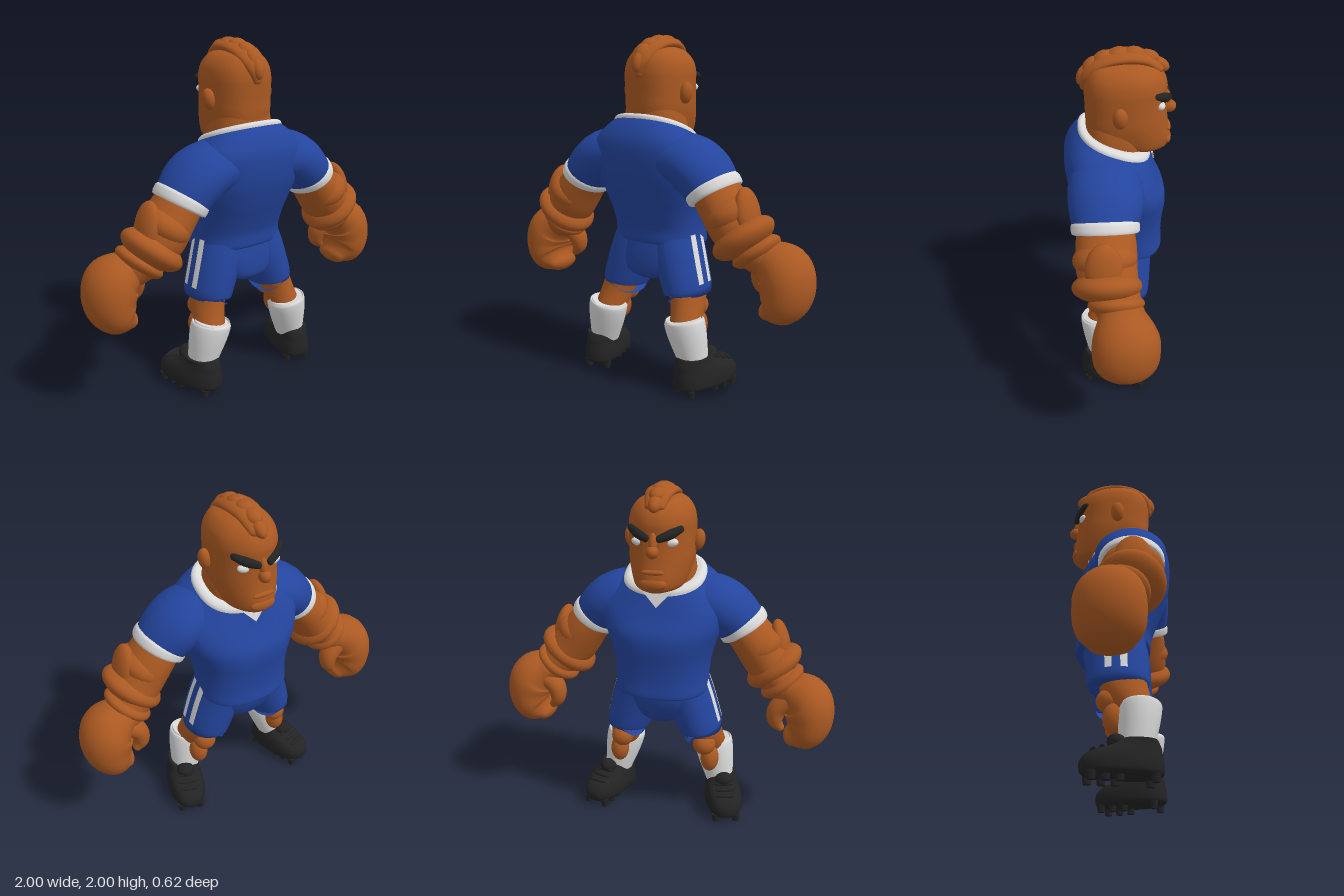
import * as THREE from 'three';

const material = (name, color) => Object.assign(new THREE.MeshStandardMaterial({ color }), { name });

// Catmull-Rom interpolation through rows of numbers, t in 0..1
function sample(rows, t) {
  const n = rows.length - 1, f = Math.min(Math.max(t, 0), 1) * n, i = Math.min(Math.floor(f), n - 1), k = f - i;
  const at = j => rows[Math.min(Math.max(j, 0), n)];
  return rows[0].map((_, c) => {
    const [a, b, d, e] = [at(i - 1)[c], at(i)[c], at(i + 1)[c], at(i + 2)[c]];
    return b + 0.5 * k * (d - a + k * (2 * a - 5 * b + 4 * d - e + k * (3 * (b - d) + e - a)));
  });
}

// Skin over a list of rings, with end caps when the rings are closed
function skin(rings, closed = true) {
  const n = rings[0].length, pos = [], idx = [];
  rings.forEach(r => r.forEach(p => pos.push(p.x, p.y, p.z)));
  for (let i = 0; i < rings.length - 1; i++) {
    for (let j = 0; j < (closed ? n : n - 1); j++) {
      const a = i * n + j, b = i * n + (j + 1) % n, c = a + n, d = b + n;
      idx.push(a, c, b, b, c, d);
    }
  }
  if (closed) [rings[0], rings[rings.length - 1]].forEach((r, end) => {
    const base = pos.length / 3;
    const mid = r.reduce((s, p) => s.add(p), new THREE.Vector3()).divideScalar(n);
    [...r, mid].forEach(p => pos.push(p.x, p.y, p.z));
    for (let j = 0; j < n; j++) {
      const a = base + j, b = base + (j + 1) % n;
      end ? idx.push(a, base + n, b) : idx.push(b, base + n, a);
    }
  });
  const g = new THREE.BufferGeometry();
  g.setAttribute('position', new THREE.Float32BufferAttribute(pos, 3));
  g.setIndex(idx);
  g.computeVertexNormals();
  return g;
}

// Upright form; rows are [y, half width, front z, back z, slope]
function stack(rows, { pow = 2.4, taper = 0, steps = 5 } = {}) {
  const rings = [], count = (rows.length - 1) * steps;
  const bend = v => Math.sign(v) * Math.abs(v) ** (2 / pow);
  for (let i = 0; i <= count; i++) {
    const [y, w, f, b, s] = sample(rows, i / count);
    rings.push(Array.from({ length: 48 }, (_, j) => {
      const a = j / 48 * Math.PI * 2, sz = bend(Math.sin(a));
      const z = (f + b) / 2 + sz * (b - f) / 2;
      const x = w * bend(Math.cos(a)) * (sz < 0 ? 1 - taper * sz * sz : 1);
      return new THREE.Vector3(x, y + s * z, z);
    }));
  }
  return skin(rings);
}

// Swept form; rows are [x, y, z, radius across, radius along side]
function limb(rows, { side = [0, 0, 1], dome = 0, arc = null, grow = 0, seg = 28 } = {}) {
  const v = new THREE.Vector3(...side), count = (rows.length - 1) * 6, rings = [];
  const ring = (t, scale, push) => {
    const r = sample(rows, t), p = new THREE.Vector3(r[0], r[1], r[2]);
    const d = new THREE.Vector3(...sample(rows, t + 0.01)).sub(new THREE.Vector3(...sample(rows, t - 0.01))).normalize();
    const u = new THREE.Vector3().crossVectors(d, v).normalize();
    p.addScaledVector(d, push * Math.min(r[3], r[4]));
    rings.push(Array.from({ length: arc ? 6 : seg }, (_, j) => {
      const a = arc ? arc[0] + (arc[1] - arc[0]) * j / 5 : j / seg * Math.PI * 2;
      return p.clone().addScaledVector(u, Math.cos(a) * (r[3] + grow) * scale).addScaledVector(v, Math.sin(a) * (r[4] + grow) * scale);
    }));
  };
  const q = k => k / 5 * Math.PI / 2;
  if (dome) for (let k = 5; k > 0; k--) ring(0, Math.cos(q(k)) + 0.002, -dome * Math.sin(q(k)));
  for (let i = 0; i <= count; i++) ring(i / count, 1, 0);
  if (dome) for (let k = 1; k <= 5; k++) ring(1, Math.cos(q(k)) + 0.002, dome * Math.sin(q(k)));
  return skin(rings, !arc);
}

const blob = ([x, y, z], [a, b, c], rz = 0, rx = 0) =>
  new THREE.SphereGeometry(1, 28, 18).scale(a, b, c).rotateX(rx).rotateZ(rz).translate(x, y, z);

function flip(geometry) {
  const g = geometry.clone().scale(-1, 1, 1), ix = g.index.array;
  for (let i = 0; i < ix.length; i += 3) [ix[i], ix[i + 1]] = [ix[i + 1], ix[i]];
  return g;
}

export function createModel() {
  const model = new THREE.Group();
  const skinTone = material('skin', 0xab5922), blue = material('blue cloth', 0x24459e);
  const white = material('white cloth', 0xdadada), black = material('black', 0x232323);
  const add = (name, g, m) => {
    const mesh = new THREE.Mesh(g, m);
    mesh.name = name;
    model.add(mesh);
  };
  const pair = (name, g, m) => {
    add('left ' + name, g, m);
    add('right ' + name, flip(g), m);
  };

  // Shirt and collar
  add('shirt', stack([
    [0.825, 0.25, -0.23, 0.16, 0.08], [0.84, 0.272, -0.25, 0.18, 0.08], [0.92, 0.272, -0.245, 0.185, 0.06],
    [1.02, 0.283, -0.25, 0.22, 0.04], [1.12, 0.312, -0.262, 0.26, 0.04], [1.22, 0.35, -0.255, 0.295, 0.12],
    [1.33, 0.37, -0.215, 0.305, 0.25], [1.41, 0.31, -0.19, 0.27, 0.34], [1.485, 0.22, -0.165, 0.215, 0.38]]), blue);
  add('collar', stack([
    [1.462, 0.238, -0.172, 0.226, 0.38], [1.488, 0.232, -0.17, 0.222, 0.38],
    [1.503, 0.208, -0.15, 0.203, 0.38], [1.498, 0.175, -0.12, 0.18, 0.38]]), white);
  const vee = new THREE.Shape([[-0.08, 0], [0, -0.085], [0.08, 0]].map(p => new THREE.Vector2(...p)));
  add('collar point', new THREE.ExtrudeGeometry(vee, { depth: 0.009, bevelEnabled: false }).rotateX(0.24).translate(0, 1.425, -0.182), white);

  // Head
  add('neck', stack([[1.38, 0.18, -0.13, 0.18, 0.3], [1.5, 0.18, -0.14, 0.18, 0.25], [1.6, 0.165, -0.14, 0.175, 0.1]]), skinTone);
  add('head', stack([
    [1.435, 0.07, -0.24, -0.04, 0], [1.455, 0.13, -0.27, 0.08, 0], [1.51, 0.158, -0.28, 0.16, 0],
    [1.6, 0.178, -0.266, 0.18, 0], [1.68, 0.181, -0.258, 0.182, 0], [1.75, 0.182, -0.256, 0.185, 0],
    [1.81, 0.18, -0.258, 0.185, 0], [1.87, 0.163, -0.235, 0.17, 0], [1.92, 0.118, -0.18, 0.13, 0],
    [1.945, 0.04, -0.08, 0.04, 0]], { pow: 2.5, taper: 0.24 }), skinTone);
  add('nose', blob([0, 1.665, -0.272], [0.034, 0.035, 0.04]), skinTone);
  add('nose bridge', blob([0, 1.71, -0.257], [0.022, 0.06, 0.028], 0, 0.2), skinTone);
  add('lower lip', blob([0, 1.555, -0.268], [0.065, 0.015, 0.016]), skinTone);
  add('chin', blob([0, 1.49, -0.258], [0.075, 0.038, 0.03]), skinTone);
  pair('ear', blob([0.193, 1.69, 0.005], [0.036, 0.06, 0.04], -0.15), skinTone);
  pair('eye', blob([0.088, 1.709, -0.214], [0.04, 0.024, 0.026], 0.15), white);
  pair('brow', limb([[0.035, 1.735, -0.262, 0.02, 0.02], [0.09, 1.757, -0.238, 0.026, 0.022], [0.14, 1.782, -0.2, 0.018, 0.02]], { dome: 0.8, seg: 14 }), black);

  // Swept-back crest of hair
  const crest = [
    [0, 1.89, -0.21, 0.03, 0.055], [0, 1.945, -0.13, 0.035, 0.075], [0, 1.955, -0.01, 0.035, 0.085],
    [0, 1.925, 0.1, 0.035, 0.08], [0, 1.86, 0.17, 0.035, 0.06], [0, 1.79, 0.185, 0.02, 0.025]];
  add('hair crest', limb(crest, { side: [1, 0, 0], dome: 0.8 }), skinTone);
  for (let i = 0; i < 7; i++) {
    const [, y, z, , w] = sample(crest, 0.03 + i * 0.135);
    add('hair tuft', blob([0, y + 0.012, z * 1.04], [w * 0.62, 0.036, 0.06], 0, i * 0.28 - 0.5), skinTone);
  }

  // Sleeves and arms
  pair('sleeve', limb([[0.1, 1.34, 0.09, 0.14, 0.18], [0.26, 1.33, 0.09, 0.15, 0.2], [0.36, 1.275, 0.09, 0.155, 0.2], [0.447, 1.185, 0.1, 0.14, 0.172]]), blue);
  pair('cuff', limb([[0.427, 1.212, 0.1, 0.142, 0.176], [0.437, 1.198, 0.1, 0.15, 0.182], [0.456, 1.172, 0.1, 0.148, 0.18], [0.462, 1.163, 0.1, 0.138, 0.17]]), white);
  pair('arm', limb([[0.4, 1.24, 0.1, 0.12, 0.14], [0.5, 1.12, 0.1, 0.13, 0.16], [0.59, 1.0, 0.1, 0.14, 0.16], [0.67, 0.9, 0.07, 0.12, 0.14], [0.76, 0.82, 0.03, 0.1, 0.12]]), skinTone);
  pair('elbow muscle', blob([0.56, 1.07, 0.11], [0.145, 0.1, 0.17], 0.65), skinTone);
  pair('outer muscle', blob([0.665, 1.08, 0.12], [0.055, 0.15, 0.1], 0.2), skinTone);
  pair('forearm muscle', blob([0.635, 0.95, 0.105], [0.185, 0.085, 0.185], 0.68), skinTone);
  pair('wrist roll', blob([0.69, 0.875, 0.06], [0.145, 0.06, 0.15], 0.68), skinTone);

  // Curled hands
  pair('hand', limb([[0.74, 0.85, 0.03, 0.1, 0.12], [0.83, 0.79, 0.02, 0.145, 0.17], [0.86, 0.69, 0.02, 0.14, 0.178], [0.83, 0.6, 0.02, 0.12, 0.165], [0.765, 0.555, 0.02, 0.055, 0.11]], { dome: 0.8 }), skinTone);
  pair('thumb', limb([[0.75, 0.8, -0.02, 0.06, 0.07], [0.68, 0.74, -0.03, 0.055, 0.065], [0.67, 0.67, -0.04, 0.045, 0.05], [0.7, 0.625, -0.04, 0.025, 0.03]], { dome: 0.9 }), skinTone);

  // Shorts with side stripes
  add('shorts seat', stack([[0.62, 0.08, -0.12, 0.13, 0], [0.66, 0.17, -0.155, 0.175, 0], [0.75, 0.235, -0.195, 0.18, 0], [0.86, 0.24, -0.215, 0.165, 0]]), blue);
  const leg = [[0.125, 0.87, -0.015, 0.14, 0.17], [0.165, 0.74, 0, 0.14, 0.175], [0.218, 0.58, 0.01, 0.13, 0.172], [0.223, 0.56, 0.01, 0.118, 0.16]];
  pair('shorts leg', limb(leg), blue);
  for (const s of [-1, 1]) {
    pair('shorts stripe', limb(leg.slice(0, 3), { arc: [Math.PI + s * 0.24 - 0.11, Math.PI + s * 0.24 + 0.11], grow: 0.006 }), white);
  }

  // Legs, knees and socks
  pair('leg', limb([[0.21, 0.66, 0.03, 0.1, 0.13], [0.25, 0.52, 0.045, 0.092, 0.13], [0.28, 0.38, 0.12, 0.09, 0.1]]), skinTone);
  pair('kneecap', blob([0.255, 0.46, -0.035], [0.068, 0.066, 0.07]), skinTone);
  pair('shin muscle', blob([0.285, 0.355, -0.005], [0.055, 0.085, 0.062]), skinTone);
  pair('sock', limb([[0.277, 0.425, 0.135, 0.1, 0.098], [0.28, 0.41, 0.133, 0.118, 0.112], [0.3, 0.32, 0.125, 0.112, 0.108], [0.33, 0.18, 0.11, 0.085, 0.09]]), white);

  // Studded boots, toes turned out
  const boot = (name, g) => pair(name, g.rotateY(-0.28).translate(0.345, 0, 0.115), black);
  boot('boot', stack([
    [0.03, 0.088, -0.265, 0.11, 0], [0.05, 0.11, -0.288, 0.135, 0], [0.1, 0.112, -0.29, 0.135, 0],
    [0.145, 0.102, -0.25, 0.128, 0], [0.18, 0.09, -0.15, 0.122, 0], [0.215, 0.085, -0.09, 0.105, 0]]));
  boot('boot tongue', blob([0, 0.2, -0.1], [0.055, 0.045, 0.055], 0, 0.5));
  for (let i = 0; i < 3; i++) boot('lace', blob([0, 0.188 - i * 0.016, -0.135 - i * 0.045], [0.06, 0.014, 0.014]));
  for (const z of [0.08, -0.1, -0.17, -0.24]) {
    for (const x of [-0.06, 0.06]) boot('stud', new THREE.CylinderGeometry(0.026, 0.02, 0.045, 10).translate(x, 0.0225, z));
  }
  return model;
}
